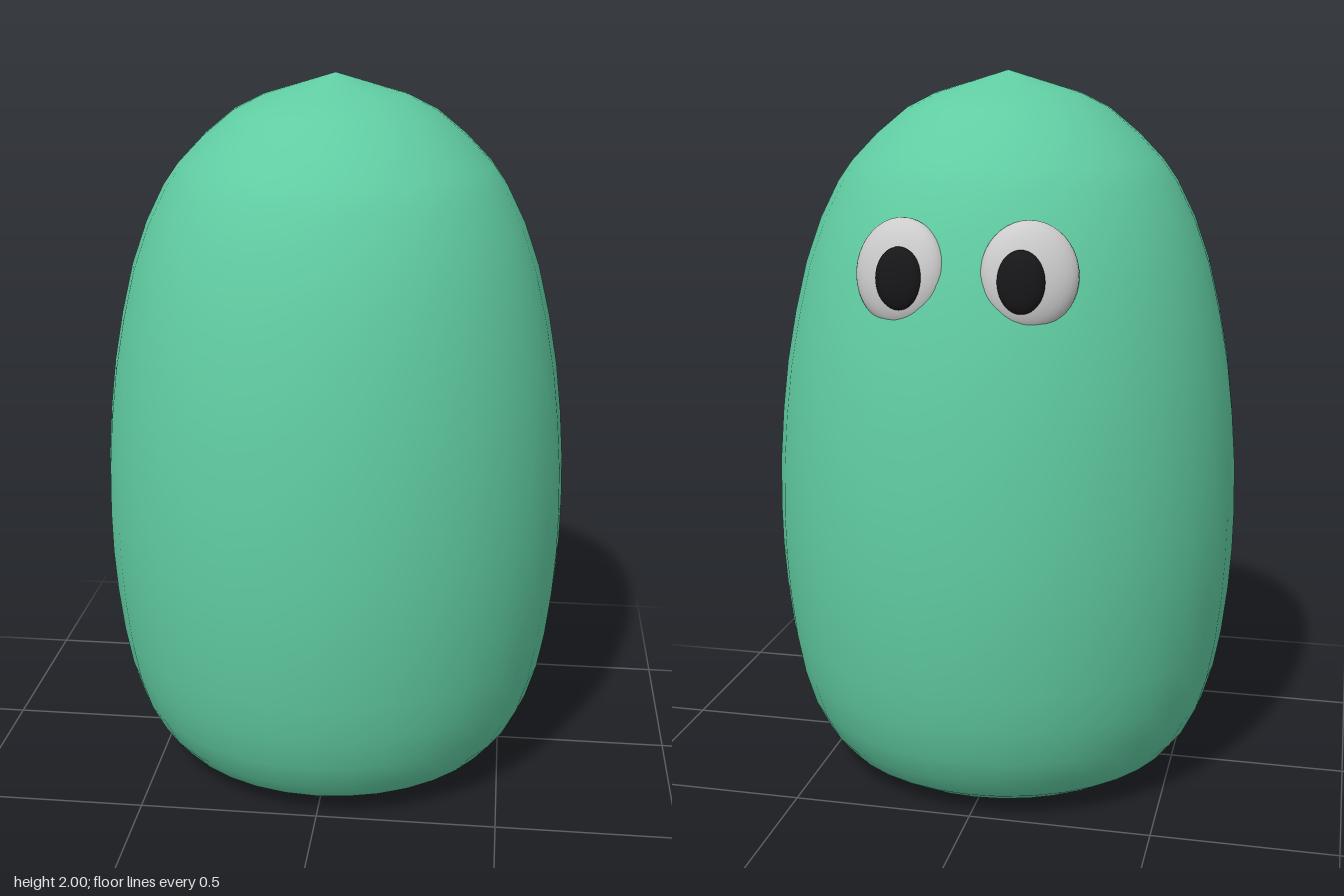
import * as THREE from 'three';

const mat = (color, roughness = 0.8) => new THREE.MeshStandardMaterial({ color, roughness });

// Stretched sphere used for the eyeballs and pupils
function ellipsoid(name, radii, material) {
  const geometry = new THREE.SphereGeometry(1, 32, 20).scale(...radii);
  const mesh = new THREE.Mesh(geometry, material);
  mesh.name = name;
  return mesh;
}

export function createModel() {
  const model = new THREE.Group();
  model.name = 'blobCreature';

  // Bullet-shaped body: [radius, height] from the base to the tip
  const profile = [
    [0, 0], [0.2, 0.004], [0.36, 0.012], [0.44, 0.028], [0.5, 0.065], [0.545, 0.12],
    [0.585, 0.2], [0.615, 0.3], [0.635, 0.41], [0.65, 0.54], [0.658, 0.66], [0.66, 0.78],
    [0.656, 0.92], [0.645, 1.06], [0.628, 1.2], [0.602, 1.34], [0.568, 1.48], [0.525, 1.6],
    [0.475, 1.7], [0.435, 1.757], [0.365, 1.83], [0.28, 1.9], [0.2, 1.94], [0, 2],
  ].map(([r, y]) => new THREE.Vector2(r, y));
  const body = new THREE.Mesh(new THREE.LatheGeometry(profile, 36), mat(0x60cca2));
  body.name = 'body';
  model.add(body);

  // Pair of eyes on the -z side, flattened and half sunk into the body
  const white = mat(0xcccccc);
  const black = mat(0x17171a);
  for (const side of [1, -1]) {
    const label = side > 0 ? 'left' : 'right';

    const eye = ellipsoid(label + 'Eye', [0.125, 0.138, 0.055], white);
    eye.position.set(side * 0.168, 1.505, -0.515);
    eye.rotation.set(0.19, -side * 0.23, 0, 'YXZ');
    model.add(eye);

    const pupil = ellipsoid(label + 'Pupil', [0.061, 0.08, 0.027], black);
    pupil.position.set(side * 0.157, 1.495, -0.568);
    pupil.rotation.set(0.06, -side * 0.05, 0, 'YXZ');
    model.add(pupil);
  }

  return model;
}
